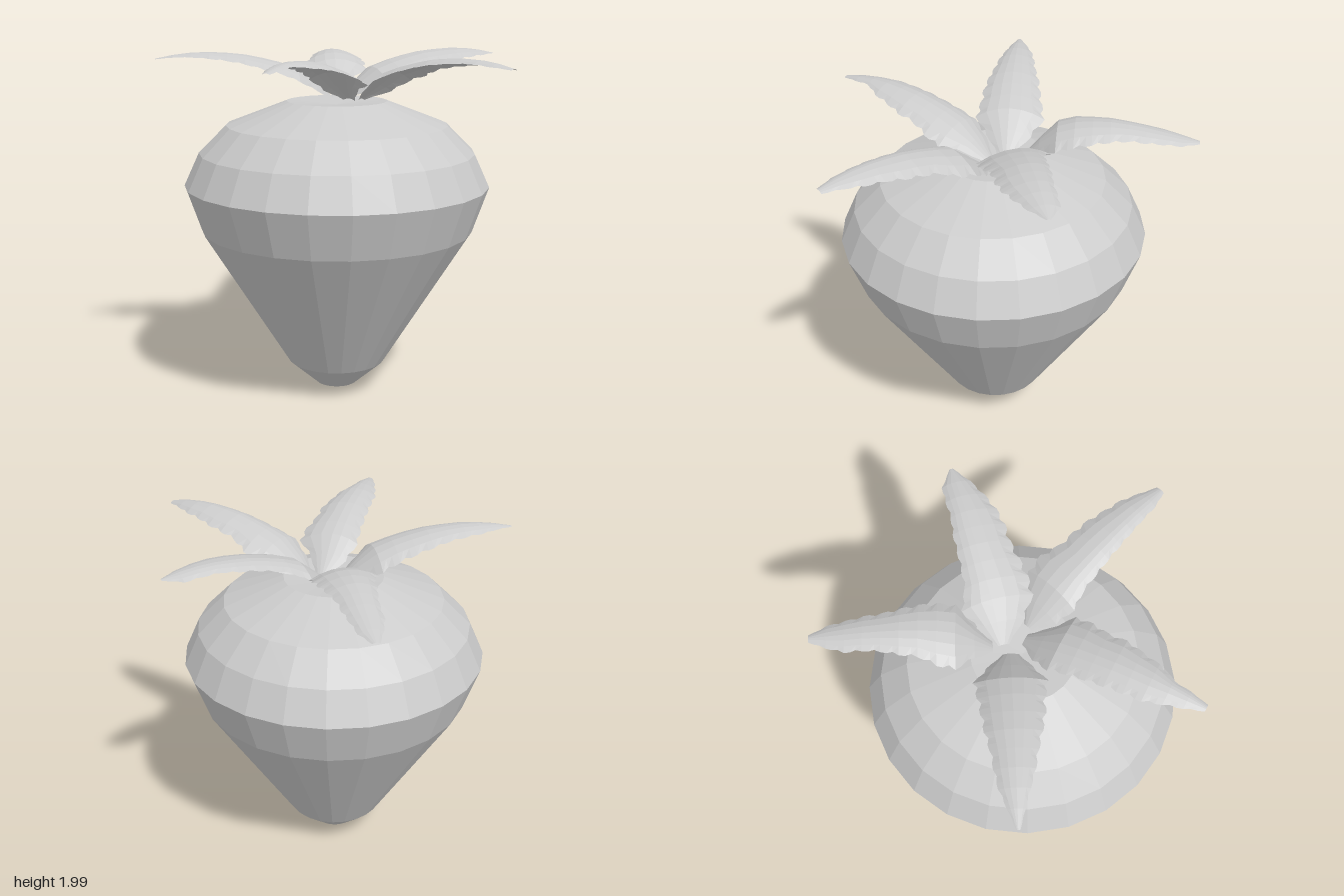
import * as THREE from 'three';

const material = new THREE.MeshStandardMaterial({ color: 0xcccccc, flatShading: true, side: THREE.DoubleSide });

// Linear lookup in an evenly spaced list, t from 0 to 1
function sample(list, t) {
  const f = t * (list.length - 1);
  const i = Math.min(Math.floor(f), list.length - 2);
  return THREE.MathUtils.lerp(list[i], list[i + 1], f - i);
}

// Midrib heights from base to tip
const RISING = [1.725, 1.81, 1.89, 1.925, 1.95, 1.97, 1.98, 1.985, 1.982, 1.97, 1.95];
const DROOPING = [1.725, 1.83, 1.92, 1.95, 1.96, 1.96, 1.95, 1.935, 1.915, 1.893, 1.87];

// Arched leaf with toothed edges; base and tip are [x, z],
// plus and minus are the half widths on either side of the midrib
function leaf({ base, tip, heights, plus, minus }) {
  const rows = 30, half = 3, cols = 2 * half + 1;
  const dx = tip[0] - base[0], dz = tip[1] - base[1];
  const len = Math.hypot(dx, dz);
  const nx = -dz / len, nz = dx / len;
  const pos = [], index = [];
  for (let r = 0; r <= rows; r++) {
    const t = r / rows;
    const tooth = r % 3 === 1 ? 0.9 : 1;
    for (let c = -half; c <= half; c++) {
      const u = c / half;
      const w = sample(u > 0 ? plus : minus, t) * (Math.abs(u) === 1 ? tooth : 1);
      const s = u * w;
      pos.push(base[0] + dx * t + nx * s, sample(heights, t) - 0.32 * w * u * u, base[1] + dz * t + nz * s);
    }
  }
  for (let r = 0; r < rows; r++) {
    for (let c = 0; c < cols - 1; c++) {
      const a = r * cols + c, b = a + cols;
      index.push(a, a + 1, b, b, a + 1, b + 1);
    }
  }
  const geo = new THREE.BufferGeometry();
  geo.setAttribute('position', new THREE.Float32BufferAttribute(pos, 3));
  geo.setIndex(index);
  geo.computeVertexNormals();
  return new THREE.Mesh(geo, material);
}

const leaves = {
  backLeaf: {
    base: [0.035, -0.05], tip: [0.05, -1], heights: DROOPING,
    plus: [0.04, 0.09, 0.19, 0.185, 0.17, 0.145, 0.12, 0.11, 0.09, 0.07, 0.02],
    minus: [0.03, 0.09, 0.18, 0.17, 0.13, 0.12, 0.1, 0.09, 0.09, 0.06, 0.02],
  },
  leftLeaf: {
    base: [0.05, 0], tip: [0.99, -0.25], heights: RISING,
    plus: [0.04, 0.155, 0.23, 0.23, 0.21, 0.19, 0.19, 0.17, 0.13, 0.08, 0.01],
    minus: [0.03, 0.1, 0.17, 0.12, 0.11, 0.105, 0.1, 0.085, 0.085, 0.08, 0.01],
  },
  rightLeaf: {
    base: [0, 0.04], tip: [-1, 0.05], heights: RISING,
    plus: [0.04, 0.13, 0.2, 0.18, 0.165, 0.15, 0.125, 0.11, 0.09, 0.05, 0.01],
    minus: [0.05, 0.12, 0.19, 0.17, 0.165, 0.145, 0.12, 0.1, 0.07, 0.04, 0.01],
  },
  frontLeftLeaf: {
    base: [0.15, 0.14], tip: [0.83, 0.87], heights: RISING,
    plus: [0.03, 0.11, 0.14, 0.11, 0.1, 0.09, 0.08, 0.07, 0.06, 0.05, 0.02],
    minus: [0.03, 0.15, 0.2, 0.21, 0.17, 0.165, 0.155, 0.13, 0.11, 0.07, 0.03],
  },
  frontRightLeaf: {
    base: [0.08, 0.12], tip: [-0.41, 1], heights: RISING,
    plus: [0.03, 0.11, 0.15, 0.14, 0.135, 0.13, 0.125, 0.12, 0.09, 0.06, 0.02],
    minus: [0.04, 0.1, 0.2, 0.19, 0.16, 0.16, 0.13, 0.105, 0.05, 0.04, 0.02],
  },
};

export function createModel() {
  const model = new THREE.Group();

  // Faceted berry with a shallow dimple on top
  const profile = [
    [0, 0], [0.04, 0.003], [0.12, 0.035], [0.285, 0.18], [0.78, 0.98], [0.87, 1.24],
    [0.785, 1.425], [0.63, 1.58], [0.285, 1.713], [0, 1.69],
  ].map(([r, y]) => new THREE.Vector2(r, y));
  const berry = new THREE.Mesh(new THREE.LatheGeometry(profile, 24), material);
  berry.name = 'berry';
  berry.position.set(0.015, 0, 0.113);
  model.add(berry);

  // Crown of five leaves
  const crown = new THREE.Group();
  crown.name = 'leafCrown';
  for (const [name, spec] of Object.entries(leaves)) {
    const mesh = leaf(spec);
    mesh.name = name;
    crown.add(mesh);
  }
  model.add(crown);
  return model;
}
